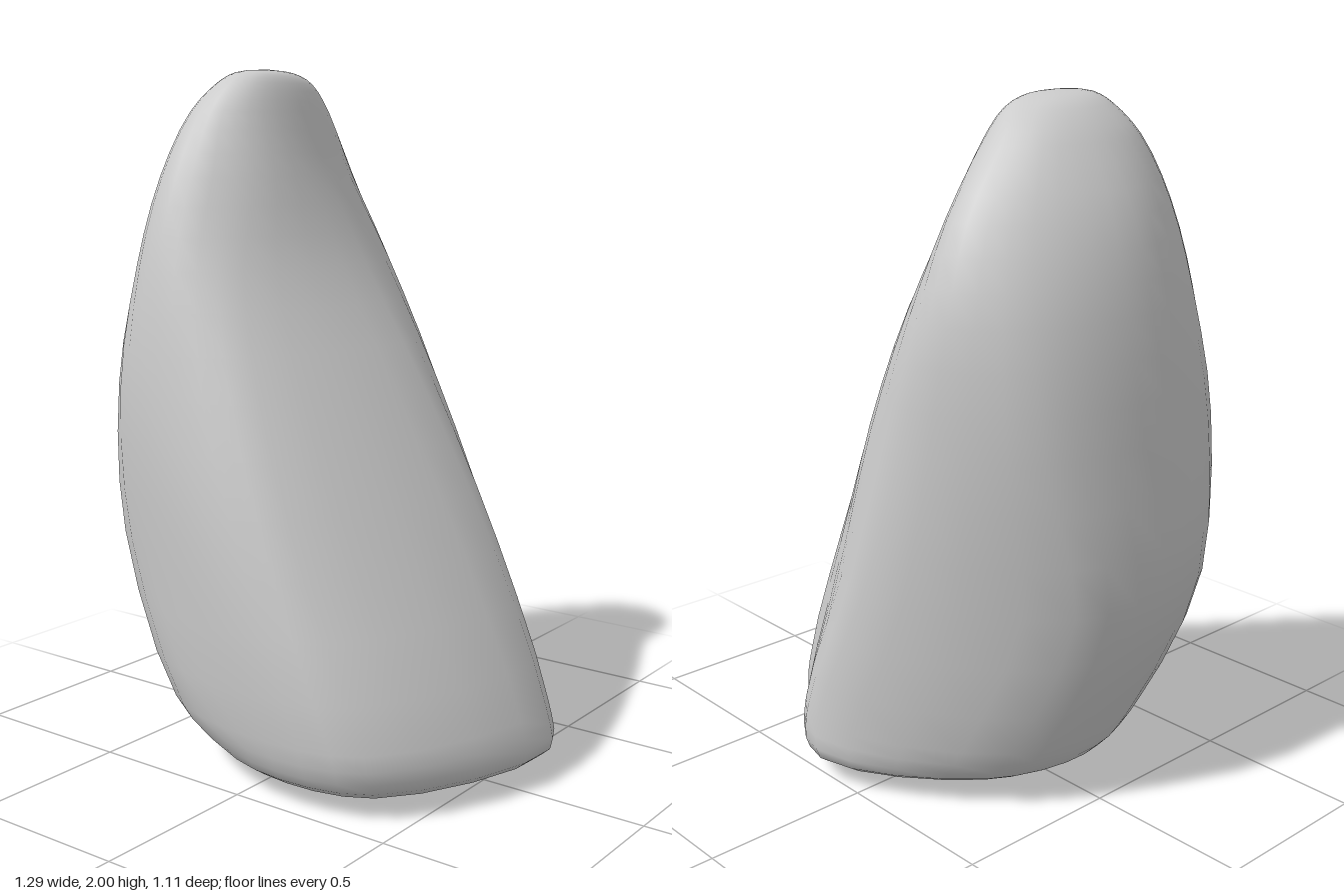
import * as THREE from 'three';
import { mergeVertices } from 'three/addons/utils/BufferGeometryUtils.js';

// Eight ridge points (x, z) per level, from the +x foot round by the front
const BODY = [
  [0.08, [0.635, -0.14, 0.41, 0.42, 0.05, 0.48, -0.28, 0.3, -0.39, 0.05, -0.3, -0.26, 0.12, -0.54, 0.42, -0.35]],
  [0.2, [0.62, -0.14, 0.41, 0.46, 0.05, 0.53, -0.3, 0.42, -0.46, 0.1, -0.4, -0.26, 0.12, -0.55, 0.4, -0.36]],
  [0.65, [0.44, -0.13, 0.22, 0.47, -0.08, 0.555, -0.54, 0.37, -0.63, 0.17, -0.58, -0.2, -0.08, -0.53, 0.22, -0.37]],
  [1.1, [0.215, -0.1, 0.04, 0.43, -0.24, 0.53, -0.54, 0.38, -0.63, 0.1, -0.56, -0.3, -0.22, -0.5, 0.05, -0.38]],
  [1.45, [0.02, -0.08, -0.08, 0.35, -0.28, 0.48, -0.5, 0.33, -0.6, 0.05, -0.52, -0.31, -0.3, -0.47, -0.1, -0.36]],
  [1.7, [-0.08, -0.03, -0.12, 0.25, -0.28, 0.4, -0.44, 0.29, -0.54, 0.03, -0.46, -0.25, -0.3, -0.38, -0.15, -0.24]],
];
// Rounded crown: y, centre x, centre z, radius x, radius z
const CROWN = [
  [1.88, -0.28, 0.03, 0.155, 0.26],
  [1.96, -0.255, 0.04, 0.105, 0.18],
  [1.99, -0.24, 0.06, 0.065, 0.11],
];
const SIDES = 8, AROUND = 4, UP = 3;

function makeLevels() {
  const ring = (f) => Array.from({ length: SIDES }, (_, i) => f(i));
  const body = BODY.map(([y, p]) => ring((i) => new THREE.Vector3(p[2 * i], y, p[2 * i + 1])));
  const crown = CROWN.map(([y, cx, cz, rx, rz]) => ring((i) => {
    const a = (i / SIDES) * Math.PI * 2;
    return new THREE.Vector3(cx + rx * Math.cos(a), y, cz + rz * Math.sin(a));
  }));
  // Shallow underside drawn in from the lowest level
  const under = ring((i) => new THREE.Vector3(0.13 + (body[0][i].x - 0.13) * 0.74, 0.025, body[0][i].z * 0.72));
  return [ring(() => new THREE.Vector3(0.13, 0, 0)), under, ...body, ...crown,
    ring(() => new THREE.Vector3(-0.23, 2, 0.06))];
}

function rockGeometry() {
  // Smooth each level round its ridges, then smooth every column upwards
  const levels = makeLevels();
  const n = SIDES * AROUND, rows = (levels.length - 1) * UP;
  const rings = levels.map((pts, k) => {
    if (k === 0 || k === levels.length - 1) return Array.from({ length: n }, () => pts[0]);
    const curve = new THREE.CatmullRomCurve3(pts, true);
    return Array.from({ length: n }, (_, i) => curve.getPoint(i / n));
  });
  const pos = [], idx = [];
  for (let i = 0; i < n; i++) {
    const column = new THREE.CatmullRomCurve3(rings.map((r) => r[i]));
    for (let j = 0; j <= rows; j++) {
      const p = column.getPoint(j / rows);
      pos.push(p.x, THREE.MathUtils.clamp(p.y, 0, 2), p.z);
    }
  }
  for (let i = 0; i < n; i++) {
    for (let j = 0; j < rows; j++) {
      const a = i * (rows + 1) + j, b = ((i + 1) % n) * (rows + 1) + j;
      if (j < rows - 1) idx.push(a, a + 1, b + 1);
      else idx.push(a, a + 1, b);
      if (j > 0 && j < rows - 1) idx.push(a, b + 1, b);
    }
  }
  const geo = new THREE.BufferGeometry();
  geo.setAttribute('position', new THREE.Float32BufferAttribute(pos, 3));
  geo.setIndex(idx);
  const merged = mergeVertices(geo, 1e-5);
  merged.computeVertexNormals();
  return merged;
}

export function createModel() {
  const group = new THREE.Group();
  group.name = 'standingStone';
  const rock = new THREE.Mesh(rockGeometry(), new THREE.MeshStandardMaterial({ color: 0xcccccc }));
  rock.name = 'rock';
  group.add(rock);
  return group;
}
